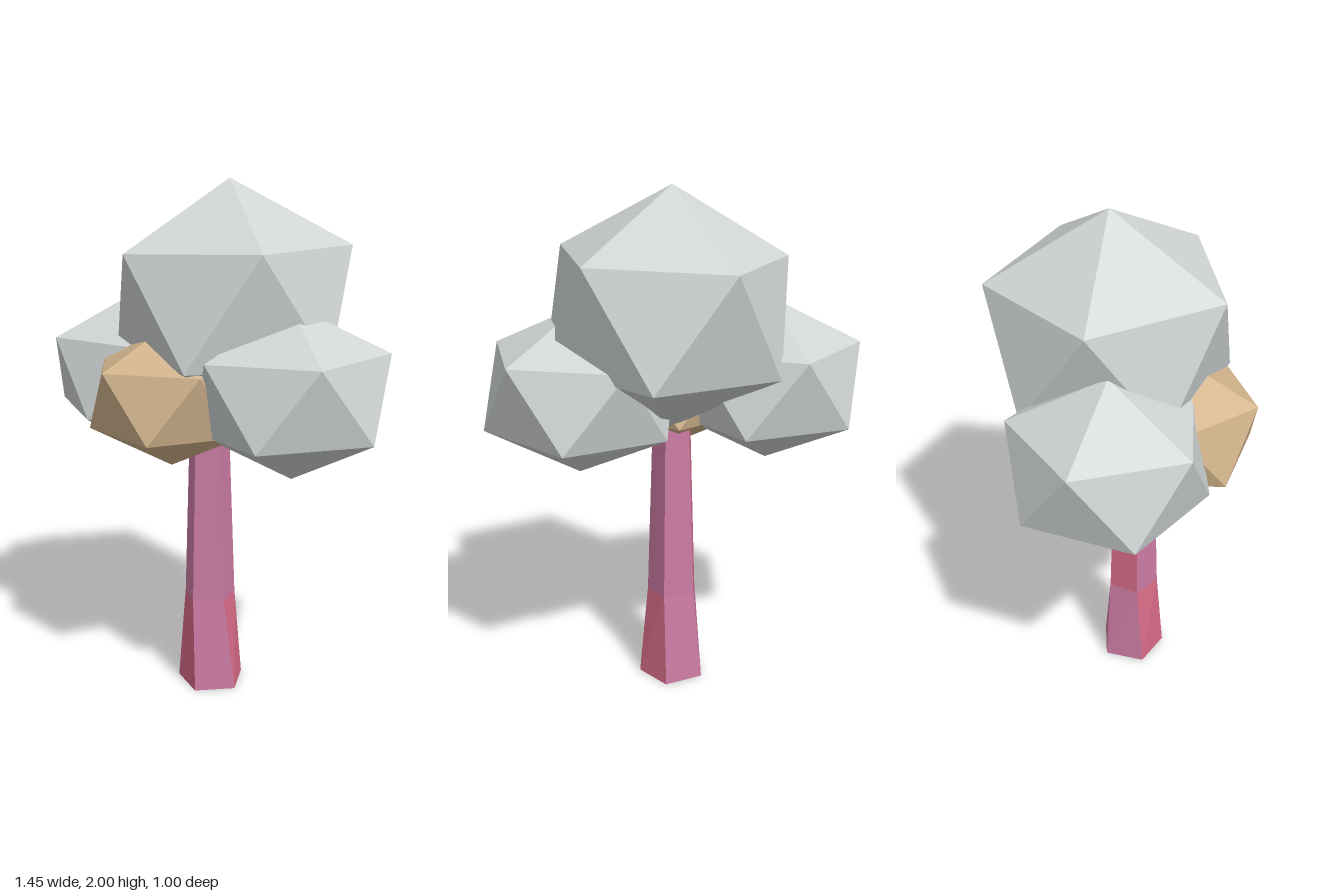
import * as THREE from 'three';
import { ConvexGeometry } from 'three/addons/geometries/ConvexGeometry.js';

const mat = (name, color) => {
  const m = new THREE.MeshStandardMaterial({ color });
  m.name = name;
  return m;
};
const rad = THREE.MathUtils.degToRad;

// Point at an angle on a horizontal circle
const onCircle = (r, deg, y, cx = 0, cz = 0) =>
  new THREE.Vector3(cx + r * Math.cos(rad(deg)), y, cz + r * Math.sin(rad(deg)));

// Squashed icosahedron standing on one tip: two tips and two staggered rings of five
function foliageGeometry(ringRadius, halfHeight, phase) {
  const ringY = halfHeight / Math.sqrt(5);
  const pts = [new THREE.Vector3(0, halfHeight, 0), new THREE.Vector3(0, -halfHeight, 0)];
  for (let i = 0; i < 5; i++) {
    pts.push(onCircle(ringRadius, phase + 72 * i, ringY));
    pts.push(onCircle(ringRadius, phase + 36 + 72 * i, -ringY));
  }
  return new ConvexGeometry(pts);
}

// Flat-faced geometry from a list of triangles
function facets(triangles) {
  const g = new THREE.BufferGeometry().setFromPoints(triangles.flat());
  g.computeVertexNormals();
  return g;
}

export function createModel() {
  const tree = new THREE.Group();
  tree.name = 'tree';
  const grey = mat('greyFoliage', 0xd0d4d4);
  const tan = mat('tanFoliage', 0xd2b48c);
  const pink = mat('pinkBark', 0xcc7ca4);
  const red = mat('redBark', 0xd86c88);

  // Foliage clumps
  const clumps = [
    { name: 'crownFoliage', m: grey, r: 0.45, h: 0.455, phase: 33.5, at: [0.035, 1.545, -0.06], lean: 0.035 },
    { name: 'leftFoliage', m: grey, r: 0.36, h: 0.323, phase: 33.5, at: [0.362, 1.248, -0.02], lean: 0.03 },
    { name: 'rightFoliage', m: grey, r: 0.357, h: 0.323, phase: 44.5, at: [-0.37, 1.246, 0.025], lean: 0 },
    { name: 'frontFoliage', m: tan, r: 0.305, h: 0.272, phase: 96.5, at: [-0.035, 1.215, 0.2], lean: 0 },
  ];
  for (const c of clumps) {
    const mesh = new THREE.Mesh(foliageGeometry(c.r, c.h, c.phase), c.m);
    mesh.name = c.name;
    mesh.position.set(...c.at);
    mesh.rotation.z = c.lean;
    tree.add(mesh);
  }

  // Five-sided trunk: flared foot, slight twist, tapering into the foliage
  const sections = [
    { y: 0, r: 0.136, phase: 75, x: 0.005, z: 0.025 },
    { y: 0.375, r: 0.104, phase: 85, x: 0, z: 0.03 },
    { y: 1.2, r: 0.076, phase: 86, x: 0, z: 0.033 },
  ];
  const rings = sections.map((s) =>
    [0, 1, 2, 3, 4].map((i) => onCircle(s.r, s.phase + 72 * i, s.y, s.x, s.z)));

  // Sides painted red: two on the foot, one on the shaft
  const redSides = [[0, 3], [1]];
  const redTris = [];
  const pinkTris = [];
  for (let k = 0; k < 2; k++) {
    const [low, high] = [rings[k], rings[k + 1]];
    for (let i = 0; i < 5; i++) {
      const j = (i + 1) % 5;
      const list = redSides[k].includes(i) ? redTris : pinkTris;
      list.push([low[j], low[i], high[i]], [low[j], high[i], high[j]]);
    }
  }
  // End caps
  const [foot, , top] = rings;
  redTris.push([foot[0], foot[1], foot[3]], [foot[0], foot[3], foot[4]]);
  pinkTris.push([foot[1], foot[2], foot[3]]);
  for (let i = 1; i < 4; i++) pinkTris.push([top[0], top[i + 1], top[i]]);

  const trunk = new THREE.Group();
  trunk.name = 'trunk';
  for (const [name, tris, m] of [['pinkTrunkSides', pinkTris, pink], ['redTrunkSides', redTris, red]]) {
    const mesh = new THREE.Mesh(facets(tris), m);
    mesh.name = name;
    trunk.add(mesh);
  }
  tree.add(trunk);
  return tree;
}
